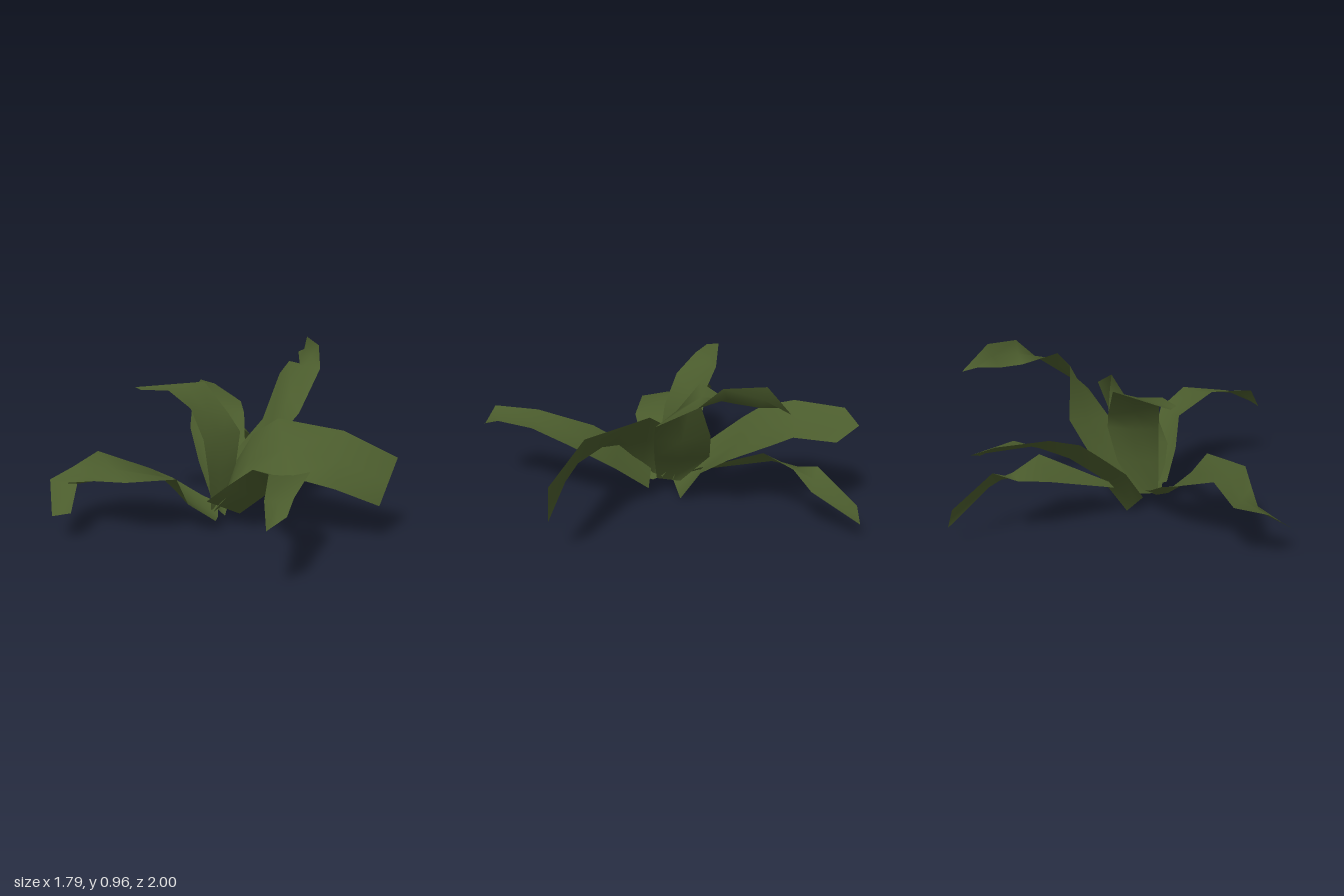
import * as THREE from 'three';

// A leaf blade: a ribbon between two edges with a slightly sunken midrib.
function leaf(name, edgeA, edgeB, material, { sag = 0.015, tip = null } = {}) {
  const positions = [], index = [];
  const n = edgeA.length;
  const v = (p) => new THREE.Vector3(...p);
  for (let i = 0; i < n; i++) {
    const a = v(edgeA[i]), b = v(edgeB[i]);
    const mid = a.clone().add(b).multiplyScalar(0.5);
    const lo = Math.max(i - 1, 0), hi = Math.min(i + 1, n - 1);
    const along = v(edgeA[hi]).add(v(edgeB[hi])).sub(v(edgeA[lo])).sub(v(edgeB[lo]));
    const normal = along.cross(b.clone().sub(a)).normalize();
    if (normal.y < 0) normal.negate();
    const ends = i === 0 || i === n - 1;
    mid.addScaledVector(normal, ends ? 0 : -sag);
    if (i === n - 1 && tip) mid.set(...tip);
    positions.push(...a.toArray(), ...mid.toArray(), ...b.toArray());
  }
  for (let i = 0; i < n - 1; i++) {
    for (let j = 0; j < 2; j++) {
      const p = i * 3 + j;
      index.push(p, p + 1, p + 3, p + 1, p + 4, p + 3);
    }
  }
  // Make the upper surface the front so smooth normals point upward.
  const geometry = new THREE.BufferGeometry();
  geometry.setAttribute('position', new THREE.Float32BufferAttribute(positions, 3));
  geometry.setIndex(index);
  geometry.computeVertexNormals();
  const normals = geometry.attributes.normal;
  let up = 0;
  for (let i = 0; i < normals.count; i++) up += normals.getY(i);
  if (up < 0) {
    geometry.setIndex(index.reverse());
    geometry.computeVertexNormals();
  }
  const mesh = new THREE.Mesh(geometry, material);
  mesh.name = name;
  return mesh;
}

export function createModel() {
  const model = new THREE.Group();
  model.name = 'leafyPlant';
  const green = new THREE.MeshStandardMaterial({ color: 0x4b5c2d, side: THREE.DoubleSide });
  green.name = 'leafGreen';

  // Low leaf on the right side, twisting once and drooping at the end
  model.add(leaf('rightSideLeaf',
    [[0.05, 0.12, -0.03], [-0.03, 0.16, -0.09], [-0.17, 0.25, -0.19], [-0.28, 0.30, -0.25],
      [-0.57, 0.42, -0.32], [-0.71, 0.33, -0.36], [-0.86, 0.30, -0.28], [-0.90, 0.16, -0.08]],
    [[0.02, 0.07, 0.05], [-0.02, 0.07, 0.11], [-0.18, 0.19, 0.10], [-0.26, 0.36, 0.14],
      [-0.53, 0.36, 0.09], [-0.66, 0.33, -0.08], [-0.73, 0.29, -0.18], [-0.80, 0.17, -0.06]], green));

  // Broad leaf rising to the back
  model.add(leaf('broadBackLeaf',
    [[0.04, 0.09, -0.06], [0.02, 0.30, -0.25], [0.04, 0.46, -0.45], [0.09, 0.55, -0.55],
      [0.16, 0.61, -0.71], [0.30, 0.62, -0.95]],
    [[0.125, 0.0, -0.1], [0.24, 0.22, -0.2], [0.35, 0.35, -0.33], [0.44, 0.48, -0.55],
      [0.46, 0.53, -0.65], [0.49, 0.51, -0.87]], green, { tip: [0.42, 0.57, -1.0], sag: 0.03 }));

  // Narrow leaf arching low beneath the broad back leaf, twisting midway
  model.add(leaf('narrowBackLeaf',
    [[0.07, 0.12, -0.1], [0.12, 0.18, -0.2], [0.29, 0.31, -0.58], [0.40, 0.33, -0.70],
      [0.50, 0.38, -0.78], [0.62, 0.21, -0.97]],
    [[0.09, 0.13, -0.08], [0.14, 0.2, -0.2], [0.41, 0.42, -0.51], [0.47, 0.35, -0.66],
      [0.57, 0.27, -0.74], [0.64, 0.11, -0.99]], green, { sag: 0.005 }));

  // Upright leaf folding over at the top
  model.add(leaf('uprightLeaf',
    [[0.09, 0.1, -0.06], [0.19, 0.3, -0.1], [0.23, 0.5, -0.13], [0.18, 0.60, -0.19],
      [0.07, 0.775, -0.29], [-0.33, 0.765, -0.35]],
    [[-0.01, 0.1, 0.02], [-0.02, 0.3, 0.01], [-0.04, 0.51, -0.02], [-0.09, 0.68, -0.09],
      [-0.18, 0.765, -0.20], [-0.32, 0.765, -0.28]], green));

  // Tall twisting leaf on the left side
  model.add(leaf('tallLeftLeaf',
    [[0.1, 0.1, -0.1], [0.22, 0.31, -0.25], [0.42, 0.53, -0.23], [0.48, 0.82, -0.14],
      [0.55, 0.885, -0.16], [0.69, 0.83, -0.30], [0.75, 0.83, -0.42], [0.80, 0.85, -0.53]],
    [[0.06, 0.1, 0.03], [0.2, 0.3, 0.05], [0.36, 0.48, 0.06], [0.51, 0.63, 0.06],
      [0.74, 0.83, -0.13], [0.785, 0.945, -0.24], [0.81, 0.96, -0.44], [0.89, 0.82, -0.57]], green));

  // Wide leaf reaching forward and to the left
  model.add(leaf('wideFrontLeaf',
    [[0.1, 0.13, 0.0], [0.2, 0.34, -0.1], [0.28, 0.5, -0.06], [0.37, 0.62, 0.08],
      [0.60, 0.615, 0.41], [0.84, 0.485, 0.58]],
    [[-0.01, 0.1, 0.05], [0.01, 0.17, 0.11], [0.07, 0.32, 0.24], [0.28, 0.40, 0.44],
      [0.5, 0.33, 0.52], [0.73, 0.23, 0.60]], green, { sag: 0.02 }));

  // Front leaf bending down at its end
  model.add(leaf('frontLeaf',
    [[-0.05, 0.17, 0.05], [0.0, 0.31, 0.22], [0.08, 0.45, 0.38], [0.03, 0.53, 0.68],
      [-0.11, 0.50, 0.93], [-0.13, 0.38, 1.0]],
    [[0.14, 0.08, 0.08], [0.21, 0.25, 0.27], [0.29, 0.43, 0.50], [0.25, 0.52, 0.70],
      [0.06, 0.48, 0.90], [-0.02, 0.43, 0.99]], green));

  return model;
}
